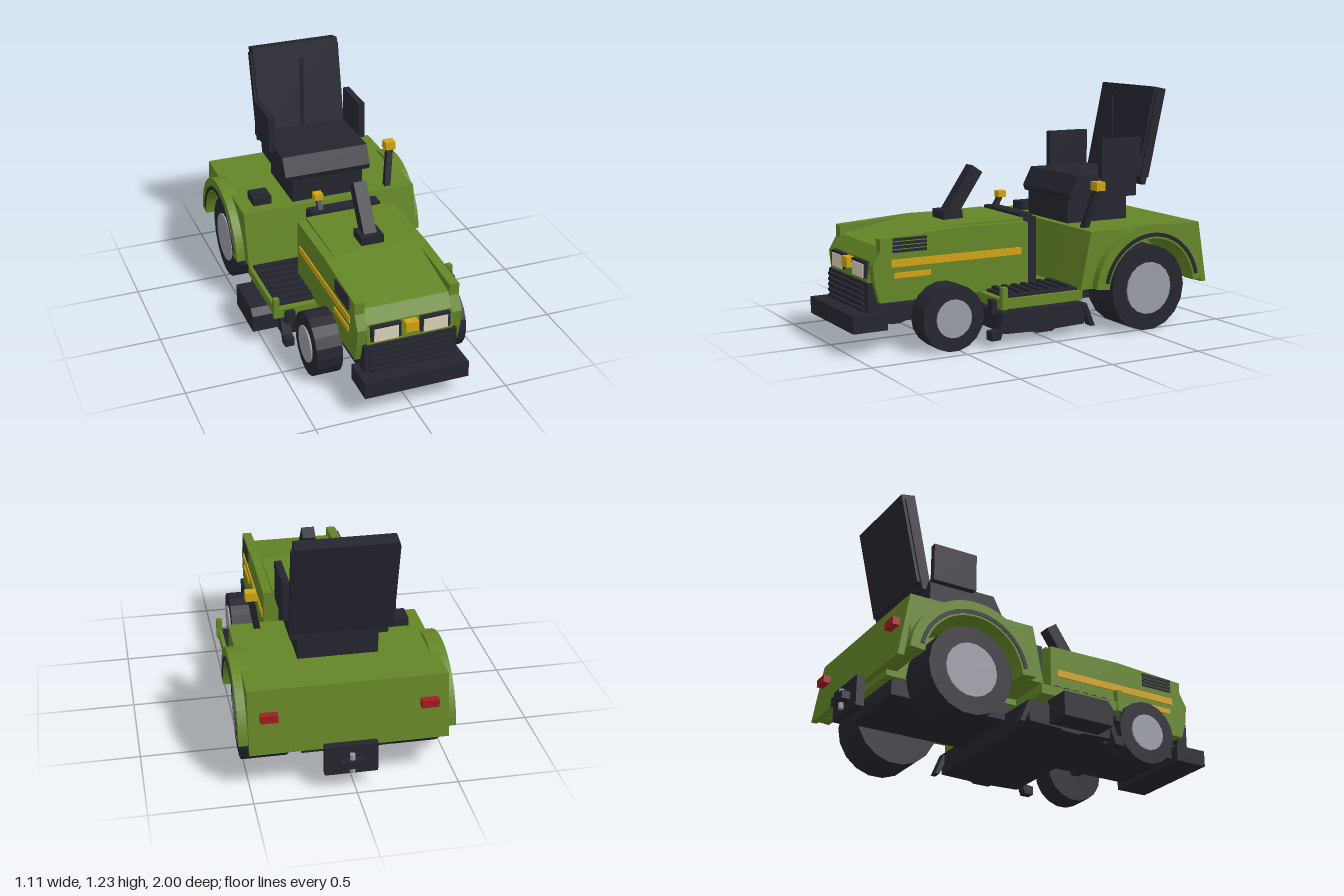
import * as THREE from 'three';

const mat = (name, color) => Object.assign(new THREE.MeshStandardMaterial({ color, flatShading: true }), { name });

export function createModel() {
  const green = mat('body green', 0x648526), dark = mat('charcoal', 0x252530);
  const yellow = mat('yellow trim', 0xd2a313), grey = mat('wheel grey', 0x9b9da6);
  const cream = mat('lamp cream', 0xd8d2ba), red = mat('tail light red', 0xa31c22);

  const root = new THREE.Group();
  root.name = 'ridingMower';
  const body = new THREE.Group();
  body.name = 'mowerAssembly';
  body.position.x = 0.02;
  root.add(body);

  const add = (name, geo, m) => {
    const mesh = new THREE.Mesh(geo, m);
    mesh.name = name;
    body.add(mesh);
    return mesh;
  };
  // Box given by its extents
  const box = (name, m, x0, x1, y0, y1, z0, z1) => {
    const mesh = add(name, new THREE.BoxGeometry(x1 - x0, y1 - y0, z1 - z0), m);
    mesh.position.set((x0 + x1) / 2, (y0 + y1) / 2, (z0 + z1) / 2);
    return mesh;
  };
  const wide = (name, m, half, ...r) => box(name, m, -half, half, ...r);
  const pair = (name, m, x0, x1, ...r) => {
    box(name + 'Left', m, x0, x1, ...r);
    box(name + 'Right', m, -x1, -x0, ...r);
  };
  // Side profile of [z, y] points extruded from x0 to x1
  const slab = (name, m, shape, x0, x1) => {
    const s = Array.isArray(shape) ? new THREE.Shape(shape.map(p => new THREE.Vector2(...p))) : shape;
    const geo = new THREE.ExtrudeGeometry(s, { depth: x1 - x0, bevelEnabled: false, curveSegments: 14 });
    geo.rotateY(-Math.PI / 2).translate(x1, 0, 0);
    return add(name, geo, m);
  };
  const slabPair = (name, m, shape, x0, x1) => {
    slab(name + 'Left', m, shape, x0, x1);
    slab(name + 'Right', m, shape, -x1, -x0);
  };
  // Square bar between two points
  const bar = (name, m, a, b, w) => {
    const p = new THREE.Vector3(...a), q = new THREE.Vector3(...b);
    const mesh = add(name, new THREE.BoxGeometry(w, p.distanceTo(q), w), m);
    mesh.position.copy(p).add(q).multiplyScalar(0.5);
    mesh.quaternion.setFromUnitVectors(new THREE.Vector3(0, 1, 0), q.sub(p).normalize());
    return mesh;
  };
  // Arched band around the rear axle
  const WZ = -0.545, WY = 0.222;
  const arch = (r0, r1, a) => {
    const s = new THREE.Shape();
    s.absarc(WZ, WY, r1, a, Math.PI - a, false);
    s.absarc(WZ, WY, r0, Math.PI - a, a, true);
    return s;
  };

  // Wheels
  const wheel = (name, side, r, hub, x0, x1, z) => {
    const disc = (part, m, rad, a, b) => {
      const g = new THREE.CylinderGeometry(rad, rad, b - a, 18).rotateZ(Math.PI / 2);
      add(name + part, g, m).position.set(side * (a + b) / 2, r, z);
    };
    disc('Tire', dark, r, x0, x1);
    disc('Hub', grey, hub, x1 - 0.03, x1 + 0.008);
  };
  for (const side of [1, -1]) {
    const n = side > 0 ? 'Left' : 'Right';
    wheel('rear' + n, side, 0.222, 0.135, 0.265, 0.495, WZ);
    wheel('front' + n, side, 0.165, 0.095, 0.265, 0.4, 0.53);
  }
  for (const [n, y, z, h] of [['front', 0.165, 0.53, 0.3], ['rear', WY, WZ, 0.3]])
    wide(n + 'Axle', dark, h, y - 0.025, y + 0.025, z - 0.025, z + 0.025);

  // Chassis and bumper
  wide('chassis', dark, 0.22, 0.14, 0.22, -0.82, 0.85);
  wide('frontBumper', dark, 0.27, 0.115, 0.2, 0.82, 1.0);

  // Mower deck
  slab('mowerDeck', dark, [[0.29, 0.17], [-0.2, 0.17], [-0.19, 0.065], [-0.02, 0.06], [0, 0.05], [0.09, 0.05], [0.11, 0.06], [0.27, 0.065]], -0.44, 0.44);
  slab('dischargeChute', dark, [[0.2, 0.07], [0.2, 0.16], [0.17, 0.195], [-0.08, 0.195], [-0.08, 0.07]], -0.575, -0.43);
  slabPair('deckFrontSkid', dark, [[0.35, 0.04], [0.35, 0.085], [0.31, 0.09], [0.28, 0.17], [0.25, 0.17], [0.3, 0.04]], 0.4, 0.45);
  slabPair('deckRearSkid', dark, [[-0.17, 0.17], [-0.2, 0.17], [-0.25, 0.05], [-0.225, 0.05]], 0.4, 0.45);

  // Footboards
  wide('footboard', green, 0.485, 0.2, 0.25, -0.15, 0.315);
  pair('footboardPost', green, 0.465, 0.495, 0.2, 0.31, 0.285, 0.315);
  pair('footMat', dark, 0.21, 0.465, 0.25, 0.262, -0.13, 0.28);
  for (let i = 0; i < 7; i++)
    pair('footMatRib' + i, dark, 0.24, 0.45, 0.262, 0.275, -0.105 + i * 0.055, -0.08 + i * 0.055);
  pair('stepBracket', dark, 0.39, 0.44, 0.17, 0.24, 0.31, 0.34);

  // Hood with raised side panels
  slab('hood', green, [[0.86, 0.25], [0.04, 0.25], [0.04, 0.595], [0.45, 0.59], [0.84, 0.515], [0.885, 0.45], [0.9, 0.35]], -0.222, 0.222);
  slabPair('hoodSidePanel', green, [[0.86, 0.25], [0.04, 0.25], [0.04, 0.58], [0.45, 0.585], [0.855, 0.56], [0.855, 0.5], [0.895, 0.43], [0.885, 0.34]], 0.22, 0.27);
  pair('longStripe', yellow, 0.269, 0.276, 0.42, 0.457, 0.08, 0.8);
  pair('shortStripe', yellow, 0.269, 0.276, 0.365, 0.392, 0.59, 0.785);
  for (let i = 0; i < 4; i++)
    pair('hoodVent' + i, dark, 0.268, 0.278, 0.49 + i * 0.019, 0.503 + i * 0.019, 0.61, 0.79);

  // Grille and lamps
  wide('grille', dark, 0.24, 0.2, 0.345, 0.85, 0.91);
  for (let i = 0; i < 5; i++)
    wide('grilleSlat' + i, dark, 0.21, 0.205 + i * 0.028, 0.219 + i * 0.028, 0.91, 0.928);
  pair('lampFrame', dark, 0.05, 0.205, 0.365, 0.445, 0.87, 0.908);
  pair('headlamp', cream, 0.065, 0.19, 0.365, 0.433, 0.905, 0.913);
  wide('noseBadge', yellow, 0.033, 0.39, 0.442, 0.88, 0.927);

  // Dashboard and controls
  wide('dashboard', dark, 0.19, 0.25, 0.59, -0.055, 0.04);
  wide('dashTop', dark, 0.19, 0.585, 0.61, -0.03, 0.04);
  box('dashSwitch', grey, -0.04, 0.025, 0.53, 0.582, -0.075, -0.05);
  box('ignition', grey, 0.085, 0.14, 0.54, 0.58, -0.07, -0.05);
  bar('throttleStalk', dark, [-0.13, 0.6, 0.01], [-0.135, 0.66, -0.025], 0.025);
  box('throttleKnob', yellow, -0.157, -0.11, 0.655, 0.688, -0.05, -0.005);
  wide('steeringBase', dark, 0.06, 0.59, 0.635, 0.3, 0.41);
  bar('steeringColumn', dark, [0, 0.615, 0.35], [0, 0.835, 0.2], 0.068);

  // Rear body, open around the wheels
  const shell = new THREE.Shape();
  shell.moveTo(-0.14, 0.25);
  shell.lineTo(-0.2, 0.54);
  shell.lineTo(-0.865, 0.54);
  shell.lineTo(-0.86, 0.25);
  const cut = Math.asin((0.25 - WY) / 0.262);
  shell.absarc(WZ, WY, 0.262, Math.PI - cut, cut, true);
  slabPair('rearFenderShell', green, shell, 0.24, 0.485);
  slab('rearBodyCore', green, [[-0.14, 0.22], [-0.2, 0.54], [-0.865, 0.54], [-0.86, 0.22]], -0.245, 0.245);
  slab('rearPanel', green, [[-0.84, 0.54], [-0.868, 0.54], [-0.922, 0.22], [-0.89, 0.22]], -0.485, 0.485);
  slabPair('wheelArch', green, arch(0.262, 0.338, 0.09), 0.45, 0.53);
  slabPair('archTrim', dark, arch(0.272, 0.292, 0.2), 0.525, 0.534);
  pair('tailLight', red, 0.345, 0.43, 0.393, 0.432, -0.927, -0.89);
  box('fenderBox', dark, -0.41, -0.31, 0.535, 0.585, -0.37, -0.265);
  bar('liftLever', dark, [0.345, 0.53, -0.245], [0.383, 0.745, -0.305], 0.033);
  box('liftLeverKnob', yellow, 0.353, 0.41, 0.73, 0.775, -0.332, -0.28);

  // Tow hitch
  wide('hitchPlate', dark, 0.13, 0.09, 0.245, -0.957, -0.915);
  wide('hitchBlock', dark, 0.063, 0.14, 0.18, -1.0, -0.955);
  add('hitchPin', new THREE.CylinderGeometry(0.014, 0.014, 0.1, 8), grey).position.set(0, 0.16, -0.975);

  // Seat
  wide('seatPedestal', dark, 0.2, 0.535, 0.67, -0.605, -0.24);
  slab('seatCushion', dark, [[-0.24, 0.665], [-0.64, 0.665], [-0.64, 0.79], [-0.28, 0.79], [-0.23, 0.695]], -0.24, 0.24);
  pair('armrest', dark, 0.24, 0.275, 0.775, 0.975, -0.64, -0.4);
  slab('backrest', dark, [[-0.645, 0.77], [-0.745, 1.235], [-0.82, 1.22], [-0.715, 0.755]], -0.243, 0.243);
  slab('backrestFrame', dark, [[-0.67, 0.72], [-0.69, 0.72], [-0.8, 1.195], [-0.755, 1.2], [-0.66, 0.76]], -0.253, 0.253);
  box('backrestRod', dark, -0.01, 0.01, 0.76, 1.185, -0.645, -0.637);

  return root;
}
